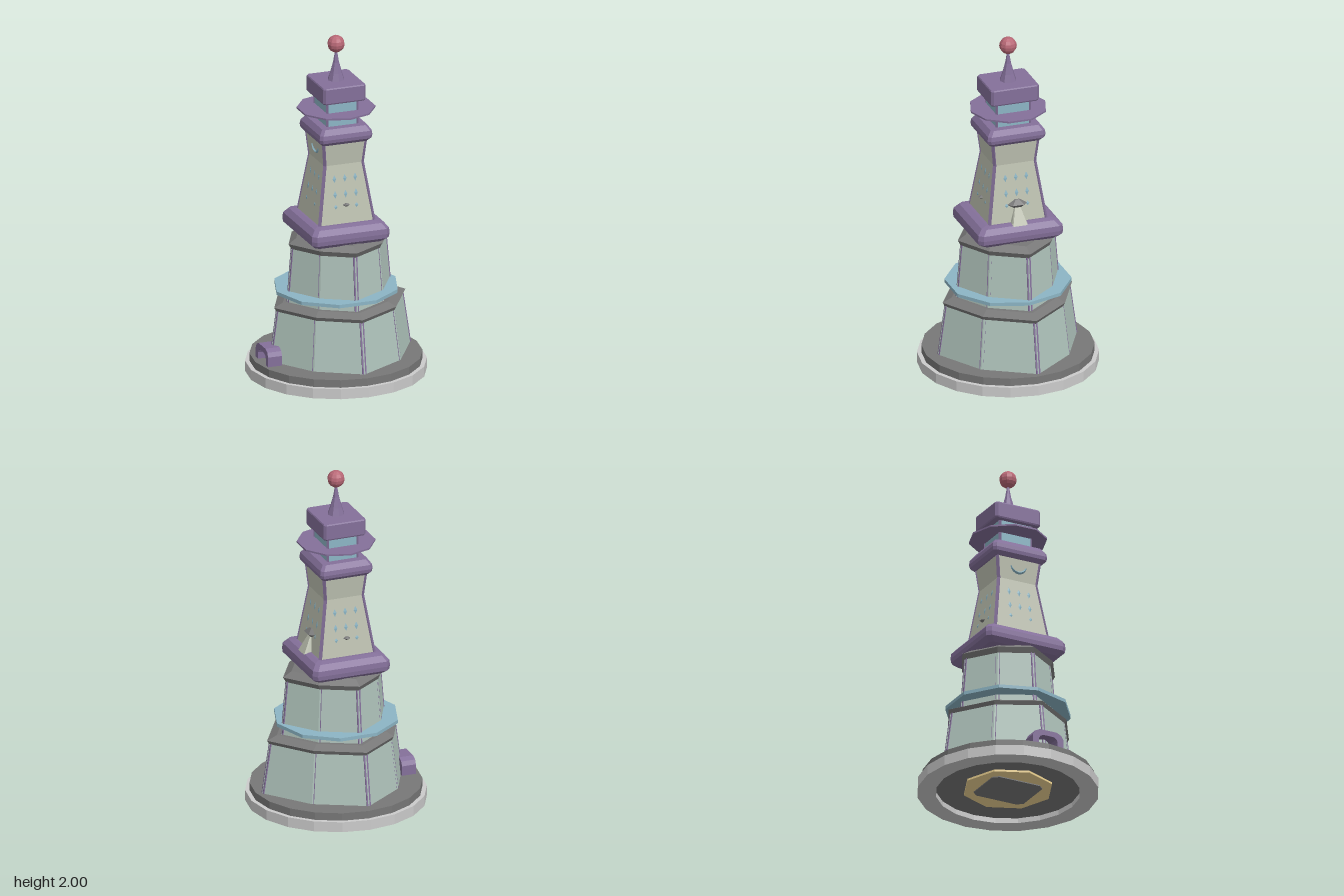
import * as THREE from 'three';

const mat = (color) => new THREE.MeshStandardMaterial({ color, flatShading: true, side: THREE.DoubleSide });
const M = {
  stone: mat(0xcccccc), dark: mat(0x787878), wall: mat(0xb0c4bc), shaft: mat(0xbec2b2),
  purple: mat(0x84709a), blue: mat(0x8cb5c5), pink: mat(0xb86876), tan: mat(0xf2d795),
};

function add(parent, name, geometry, material, x = 0, y = 0, z = 0) {
  const mesh = new THREE.Mesh(geometry, material);
  mesh.name = name;
  mesh.position.set(x, y, z);
  parent.add(mesh);
  return mesh;
}

// Stack of scaled copies of an outline; levels are [y, scaleX, scaleZ]
function loft(outline, levels) {
  const pos = [], n = outline.length;
  const at = (i, [y, sx, sz = sx]) => [outline[i % n][0] * sx, y, outline[i % n][1] * sz];
  const first = levels[0], last = levels[levels.length - 1];
  for (let i = 0; i < n; i++) {
    for (let k = 0; k < levels.length - 1; k++) {
      const a = at(i, levels[k]), b = at(i + 1, levels[k]);
      const c = at(i + 1, levels[k + 1]), d = at(i, levels[k + 1]);
      pos.push(...a, ...d, ...c, ...a, ...c, ...b);
    }
    pos.push(0, last[0], 0, ...at(i + 1, last), ...at(i, last));
    pos.push(0, first[0], 0, ...at(i, first), ...at(i + 1, first));
  }
  const g = new THREE.BufferGeometry();
  g.setAttribute('position', new THREE.Float32BufferAttribute(pos, 3));
  g.computeVertexNormals();
  return g;
}

const ngon = (n, start = 0) => Array.from({ length: n }, (_, i) => {
  const a = start + (i / n) * Math.PI * 2;
  return [Math.cos(a), Math.sin(a)];
});

// Unit square with clipped corners
const square = (c = 0.1) => [
  [-1, -1 + c], [-1 + c, -1], [1 - c, -1], [1, -1 + c],
  [1, 1 - c], [1 - c, 1], [-1 + c, 1], [-1, 1 - c],
];

// Corner strip between two points: a square bar, one flat face turned outward, sunk into the wall
function post(parent, name, a, b, width) {
  const from = new THREE.Vector3(...a), to = new THREE.Vector3(...b);
  const out = Math.atan2(a[0], a[2]);
  const inset = new THREE.Vector3(Math.sin(out), 0, Math.cos(out)).multiplyScalar(-width * 0.6);
  const dir = to.clone().sub(from);
  const bar = new THREE.BoxGeometry(width, dir.length(), width).rotateY(out);
  const mesh = add(parent, name, bar, M.purple);
  mesh.position.copy(from).add(to).multiplyScalar(0.5).add(inset);
  mesh.quaternion.setFromUnitVectors(new THREE.Vector3(0, 1, 0), dir.normalize());
}

// Slightly uneven octagon shared by both lower tiers
const OCT = [[-0.03, -0.425], [0.26, -0.275], [0.46, -0.02], [0.29, 0.265],
  [0.01, 0.425], [-0.24, 0.275], [-0.41, 0.02], [-0.28, -0.245]];

function tier(parent, name, y0, s0, y1, s1, cap) {
  const g = new THREE.Group();
  g.name = name;
  add(g, 'tierWalls', loft(OCT, [[y0, s0], [y1, s1]]), M.wall);
  for (const [x, z] of OCT) post(g, 'cornerPost', [x * s0, y0, z * s0], [x * s1, y1, z * s1], 0.025);
  add(g, 'tierCornice', loft(OCT, cap), M.dark);
  parent.add(g);
}

export function createModel() {
  const tower = new THREE.Group();
  tower.name = 'tower';

  // Round stepped base with a recessed underside
  const disc = ngon(20, Math.PI / 2);
  add(tower, 'baseRing', new THREE.LatheGeometry([[0.41, 0.06], [0.41, 0], [0.515, 0], [0.515, 0.06], [0.41, 0.06]]
    .map(([x, y]) => new THREE.Vector2(x, y)), 20), M.stone);
  add(tower, 'baseStep', loft(disc, [[0.03, 0.41], [0.06, 0.41], [0.06, 0.49], [0.105, 0.49]]), M.dark);
  add(tower, 'undersidePlate', loft(ngon(8), [[0.018, 0.26], [0.03, 0.26]]), M.tan);
  add(tower, 'undersideHatch', loft(square(0.2), [[0.012, 0.14, 0.16], [0.018, 0.14, 0.16]]), M.dark);

  // Two octagonal tiers and the walkway between them
  tier(tower, 'lowerTier', 0.1, 1, 0.4, 0.9, [[0.39, 0.89], [0.42, 0.93], [0.445, 0.8]]);
  tier(tower, 'upperTier', 0.44, 0.74, 0.765, 0.675, [[0.755, 0.67], [0.79, 0.715], [0.82, 0.6]]);
  add(tower, 'walkway', loft(ngon(10), [[0.49, 0.36], [0.51, 0.36]]), M.blue);

  // Arched doorway on the right flank
  const arch = (w, h) => [[-w, 0], [-w, h * 0.6], [-w * 0.86, h * 0.85], [-w * 0.55, h],
    [w * 0.55, h], [w * 0.86, h * 0.85], [w, h * 0.6], [w, 0]].map(([x, y]) => new THREE.Vector2(x, y));
  const frame = new THREE.Shape([...arch(0.097, 0.098), ...arch(0.06, 0.066).reverse()]);
  const door = add(tower, 'doorFrame',
    new THREE.ExtrudeGeometry(frame, { depth: 0.085, bevelEnabled: false }), M.purple, -0.455, 0.104, 0.016);
  door.rotation.y = Math.PI / 2;

  // Square shaft between two bevelled slabs
  add(tower, 'lowerSlab', loft(square(), [[0.815, 0.205, 0.22], [0.84, 0.233, 0.252], [0.865, 0.236, 0.255],
    [0.895, 0.233, 0.252], [0.925, 0.208, 0.225], [0.932, 0.18, 0.19]]), M.purple);
  const rings = [[0.92, 0.17, 0.175], [1.27, 0.118, 0.125], [1.42, 0.133, 0.142]];
  add(tower, 'shaft', loft(square(0.04), rings), M.shaft);
  add(tower, 'upperSlab', loft(square(), [[1.4, 0.138, 0.15], [1.42, 0.156, 0.17], [1.44, 0.16, 0.174],
    [1.465, 0.156, 0.17], [1.495, 0.135, 0.148]]), M.purple);

  // Lantern room, gallery and roof block
  add(tower, 'lantern', loft(square(0.04), [[1.49, 0.094, 0.103], [1.65, 0.094, 0.103]]), M.blue);
  add(tower, 'gallery', loft(ngon(10, Math.PI / 2), [[1.565, 0.223], [1.575, 0.223]]), M.purple);
  add(tower, 'roofBlock', loft(square(), [[1.64, 0.124, 0.14], [1.648, 0.128, 0.144],
    [1.73, 0.128, 0.144], [1.737, 0.124, 0.14]]), M.purple);
  for (const sx of [-1, 1]) for (const sz of [-1, 1]) {
    for (let k = 0; k < 2; k++) {
      const [p, q] = [rings[k], rings[k + 1]];
      post(tower, 'shaftPost', [sx * p[1], p[0], sz * p[2]], [sx * q[1], q[0], sz * q[2]], 0.018);
    }
    post(tower, 'lanternPost', [sx * 0.094, 1.49, sz * 0.103], [sx * 0.094, 1.65, sz * 0.103], 0.014);
  }

  // Spire and ball finial
  add(tower, 'spire', loft(ngon(8), [[1.735, 0.05], [1.78, 0.035], [1.84, 0.018], [1.92, 0.004]]), M.purple);
  add(tower, 'finialBall', new THREE.SphereGeometry(0.05, 10, 8), M.pink, 0, 1.95, 0);

  // Small diamond windows on every face, little hoods on front and back
  for (let f = 0; f < 4; f++) {
    const face = new THREE.Group();
    face.name = 'windowFace';
    face.rotation.y = (f * Math.PI) / 2;
    const [d0, d1] = f % 2 ? [0.17, 0.118] : [0.175, 0.125];
    const depth = (y) => d0 + ((d1 - d0) * (y - 0.92)) / 0.35;
    for (const y of [1.03, 1.1, 1.19]) for (const x of [-0.063, 0, 0.063]) {
      if (y < 1.05 && x === 0) continue;
      const w = add(face, 'window', new THREE.OctahedronGeometry(1), M.blue, x, y, depth(y));
      w.scale.set(0.011, y < 1.05 ? 0.014 : 0.023, 0.003);
      w.rotation.x = -0.145;
    }
    if (f % 2 === 0) {
      add(face, 'windowHood', loft(ngon(6), [[-0.01, 0.006], [0, 0.021], [0.009, 0.006]]), M.dark, 0, 1.037, depth(1.037));
    }
    tower.add(face);
  }

  // Curved ornament high on the right face
  const arc = add(tower, 'curvedOrnament',
    new THREE.TorusGeometry(0.05, 0.009, 4, 8, Math.PI * 0.8), M.blue, -0.122, 1.37, 0);
  arc.rotation.set(0, -Math.PI / 2, Math.PI * 1.1);

  // Hooded bay on the left face
  add(tower, 'bayBody', loft(square(), [[0.92, 0.112, 0.048], [1.03, 0.058, 0.014]]), M.shaft, 0.1, 0, 0);
  add(tower, 'bayHood', loft(ngon(6, Math.PI / 2), [[1.008, 0.02, 0.025], [1.035, 0.048, 0.07], [1.062, 0.018, 0.02]]),
    M.dark, 0.14, 0, 0);

  return tower;
}
